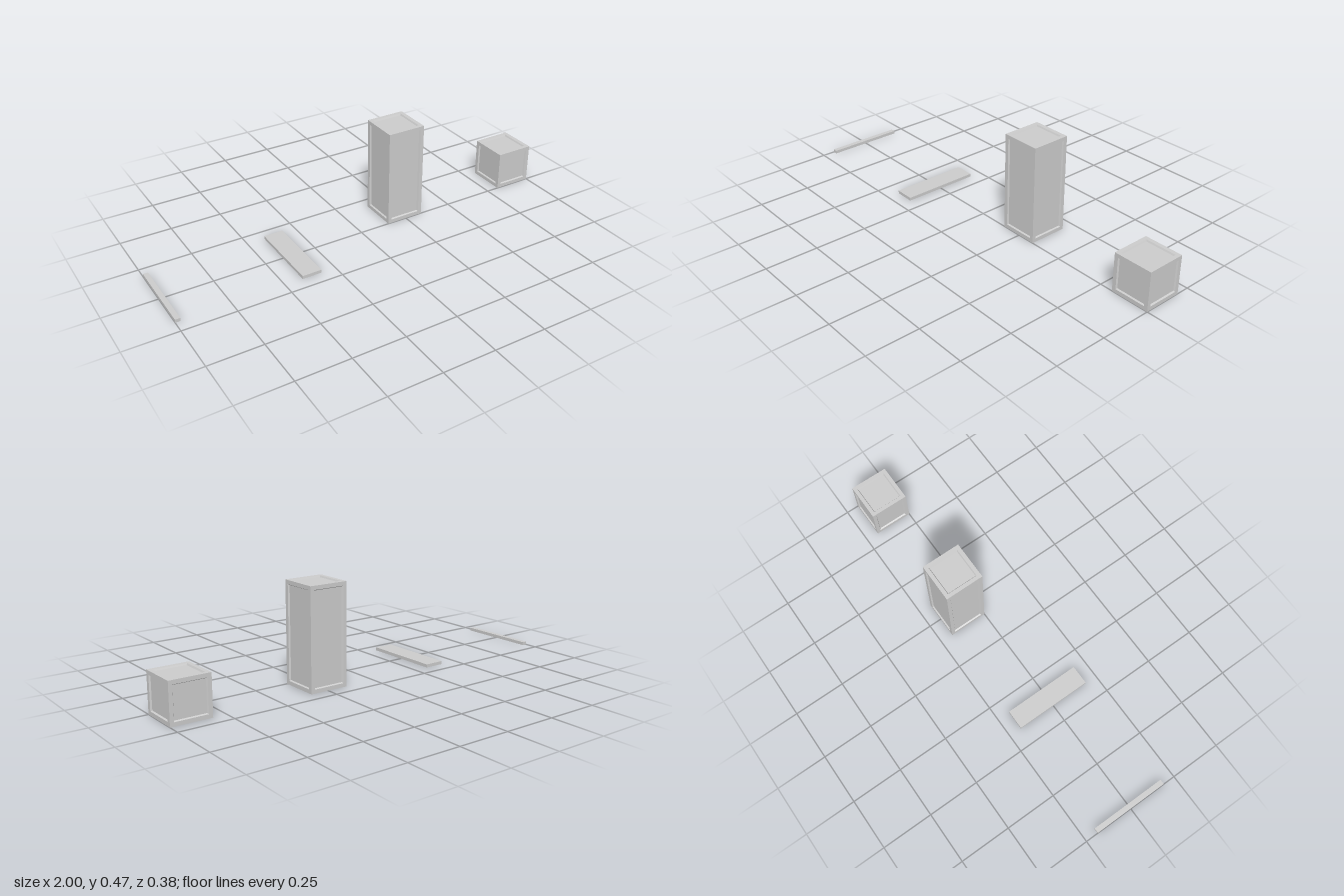
import * as THREE from 'three';
import { mergeGeometries } from 'three/addons/utils/BufferGeometryUtils.js';

const material = new THREE.MeshStandardMaterial({ color: 0xcccccc, flatShading: true });
const SIZE = 0.188, BORDER = 0.018, BEVEL = 0.004, DEPTH = 0.007;

// One side of a crate: flat border, sloped step and sunken panel, facing +z
function panelFace(w, h, distance) {
  const loops = [[0, 0], [BORDER, 0], [BORDER + BEVEL, DEPTH]];
  const corners = [[-1, -1], [1, -1], [1, 1], [-1, 1]];
  const positions = [], index = [];
  for (const [inset, sink] of loops)
    for (const [sx, sy] of corners)
      positions.push(sx * (w / 2 - inset), sy * (h / 2 - inset), distance - sink);
  for (let k = 0; k < loops.length - 1; k++)
    for (let i = 0; i < 4; i++) {
      const a = k * 4 + i, b = k * 4 + (i + 1) % 4;
      index.push(a, b, b + 4, a, b + 4, a + 4);
    }
  index.push(8, 9, 10, 8, 10, 11);
  const geometry = new THREE.BufferGeometry();
  geometry.setAttribute('position', new THREE.Float32BufferAttribute(positions, 3));
  geometry.setIndex(index);
  const flat = geometry.toNonIndexed();
  flat.computeVertexNormals();
  return flat;
}

// Closed box with a sunken panel on all six sides
function crateGeometry(w, h, d) {
  const faces = [];
  for (let i = 0; i < 4; i++) {
    const [width, reach] = i % 2 ? [d, w] : [w, d];
    faces.push(panelFace(width, h, reach / 2).rotateY(i * Math.PI / 2));
  }
  for (const s of [-1, 1]) faces.push(panelFace(w, d, h / 2).rotateX(s * Math.PI / 2));
  return mergeGeometries(faces);
}

export function createModel() {
  const group = new THREE.Group();
  const add = (name, geometry, x, y, z) => {
    const mesh = new THREE.Mesh(geometry, material);
    mesh.name = name;
    mesh.position.set(x, y, z);
    group.add(mesh);
  };

  // Crates
  add('smallCrate', crateGeometry(SIZE, SIZE, SIZE), 1 - SIZE / 2, SIZE / 2, -SIZE / 2);
  add('tallCrate', crateGeometry(SIZE, 0.47, SIZE), 0.244, 0.235, -SIZE / 2);

  // Planks
  const thickness = 0.015;
  add('widePlank', new THREE.BoxGeometry(0.094, thickness, SIZE * 2), -0.367, thickness / 2, 0);
  add('narrowPlank', new THREE.BoxGeometry(0.0235, thickness, SIZE * 2), -0.988, thickness / 2, 0);

  return group;
}
